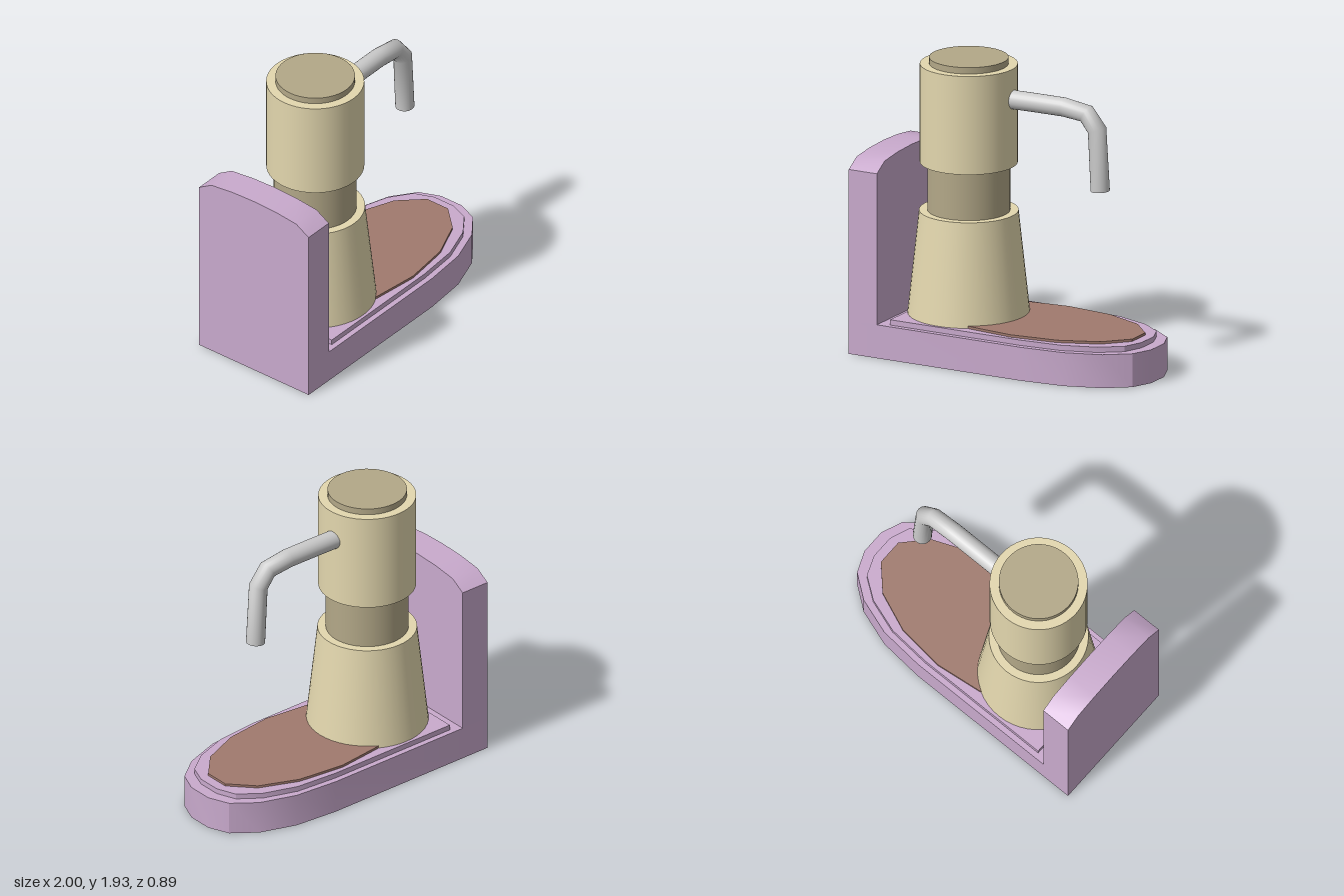
import * as THREE from 'three';
import { toCreasedNormals } from 'three/addons/utils/BufferGeometryUtils.js';

const PINK = 0xc9aacd, BEIGE = 0xe3d7ae, KHAKI = 0xb3a888, BROWN = 0xa07a6e, GREY = 0xcccccc;

export function createModel() {
  const model = new THREE.Group();
  const add = (name, geometry, color) => {
    const mesh = new THREE.Mesh(geometry, new THREE.MeshStandardMaterial({ color }));
    mesh.name = name;
    model.add(mesh);
    return mesh;
  };

  // Extrudes a half outline mirrored over its second coordinate or first coordinate
  const extrude = (points, depth) => toCreasedNormals(new THREE.ExtrudeGeometry(
    new THREE.Shape(points.map(([a, b]) => new THREE.Vector2(a, b))),
    { depth, bevelEnabled: false }), 0.5);

  // Horizontal slab from half an outline (x, z), mirrored in z
  const slab = (name, half, y0, y1, color) => {
    const mirrored = half.map(([x, z]) => [x, -z]).reverse();
    const g = extrude([...half, ...mirrored], y1 - y0);
    g.rotateX(-Math.PI / 2);
    g.translate(0, y0, 0);
    return add(name, g, color);
  };

  // Base with a rounded front end and a raised inset plate
  slab('base', [[-1, -0.445], [0.25, -0.445], [0.55, -0.418], [0.79, -0.337],
    [0.943, -0.222], [1, -0.083]], 0, 0.22, PINK);
  slab('insetPlate', [[-0.72, -0.408], [0.22, -0.408], [0.51, -0.384], [0.735, -0.308],
    [0.875, -0.206], [0.925, -0.078]], 0.2, 0.255, PINK);

  // Fourteen-sided oval pad
  const pad = [];
  for (let i = 0; i < 7; i++) {
    const a = -Math.PI + (i + 0.5) * Math.PI / 7;
    pad.push([0.14 + 0.74 * Math.cos(a), 0.38 * Math.sin(a)]);
  }
  slab('pad', pad, 0.24, 0.271, BROWN);

  // Upright back wall with an arched top
  const wall = extrude([[-0.445, 0], [0.445, 0], [0.445, 1.215], [0.345, 1.275],
    [0.18, 1.294], [0, 1.3], [-0.18, 1.294], [-0.345, 1.275], [-0.445, 1.215]], 0.205);
  wall.rotateY(Math.PI / 2);
  wall.translate(-1, 0, 0);
  add('backWall', wall, PINK);

  // Round column, stacked from the bottom up: name, bottom/top radius, bottom/top height
  const column = [
    ['columnFoot', 0.393, 0.316, 0.22, 0.93, BEIGE],
    ['columnNeck', 0.263, 0.263, 0.92, 1.25, KHAKI],
    ['columnHead', 0.311, 0.311, 1.245, 1.893, BEIGE],
    ['columnCap', 0.252, 0.252, 1.88, 1.935, KHAKI],
  ];
  for (const [name, r0, r1, y0, y1, color] of column) {
    add(name, new THREE.CylinderGeometry(r1, r0, y1 - y0, 48), color)
      .position.set(-0.378, (y0 + y1) / 2, 0);
  }

  // Bent spout: one ring at each path point, square to the averaged direction
  const z = -0.028, radius = 0.061;
  const path = [[-0.12, 1.689], [0.1, 1.692], [0.3, 1.693], [0.465, 1.672], [0.542, 1.575], [0.565, 1.178]]
    .map(([x, y]) => new THREE.Vector3(x, y, z));
  const last = path.length - 1;
  const direction = (i) => path[i + 1].clone().sub(path[i]).normalize();
  class SpoutCurve extends THREE.Curve {
    getPointAt(u) { return path[Math.round(u * last)].clone(); }
    getTangentAt(u) {
      const i = Math.round(u * last);
      return direction(Math.max(i - 1, 0)).add(direction(Math.min(i, last - 1))).normalize();
    }
  }
  add('spout', new THREE.TubeGeometry(new SpoutCurve(), last, radius, 24), GREY);

  // Discs closing both spout ends
  const ends = [['spoutInnerEnd', 0, direction(0).negate()], ['spoutTip', last, direction(last - 1)]];
  for (const [name, i, normal] of ends) {
    const disc = add(name, new THREE.CircleGeometry(radius, 24), GREY);
    disc.position.copy(path[i]);
    disc.quaternion.setFromUnitVectors(new THREE.Vector3(0, 0, 1), normal);
  }
  return model;
}
